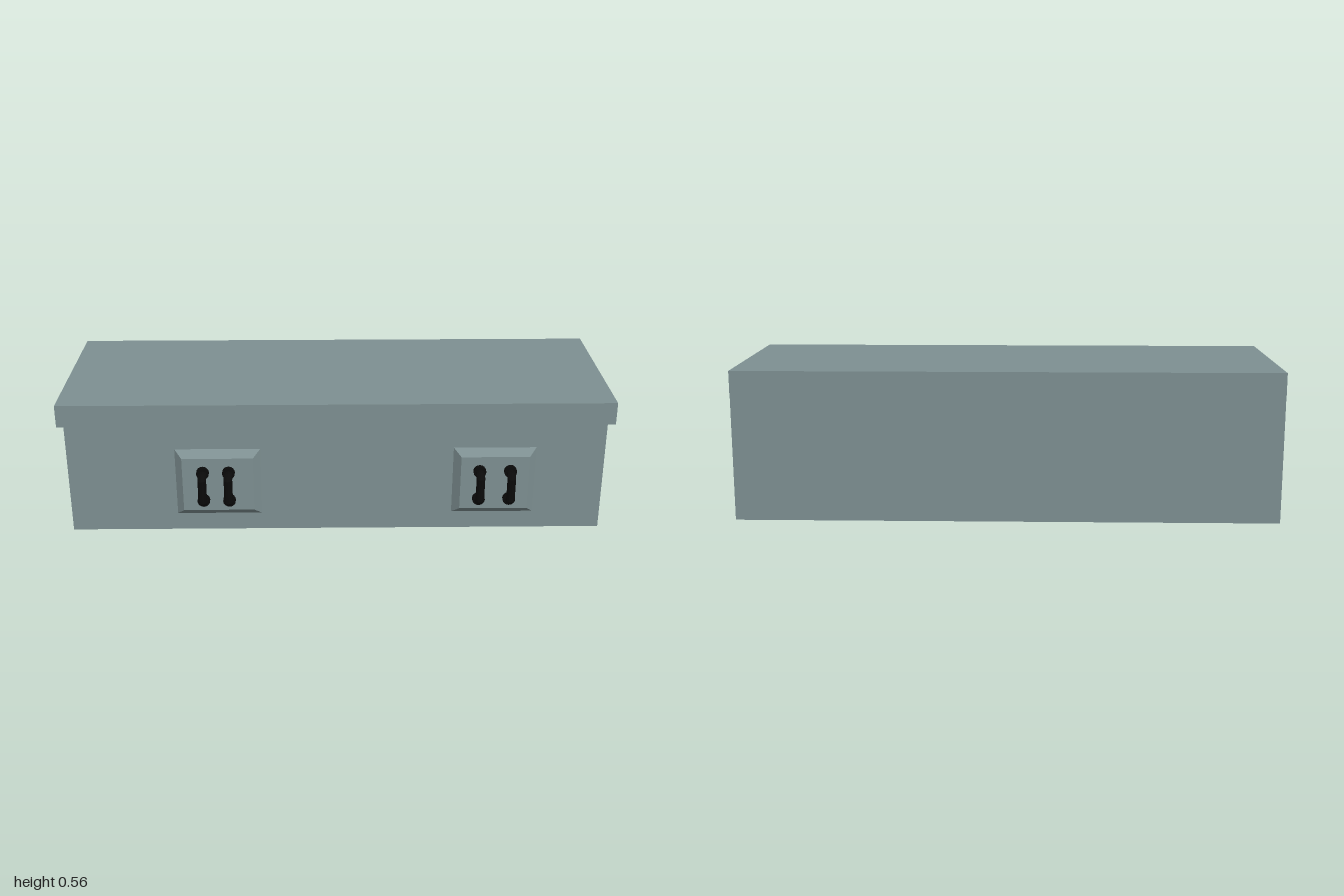
import * as THREE from 'three';

const cabinetGrey = new THREE.MeshStandardMaterial({ color: 0x7e9092 });
cabinetGrey.name = 'cabinet grey';
const handleBlack = new THREE.MeshStandardMaterial({ color: 0x0a0a0a });
handleBlack.name = 'handle black';

function addMesh(parent, name, geometry, material, x = 0, y = 0, z = 0) {
  const mesh = new THREE.Mesh(geometry, material);
  mesh.name = name;
  mesh.position.set(x, y, z);
  parent.add(mesh);
  return mesh;
}

// Box whose front face is inset on all four sides
function bevelledPanel(width, height, depth, inset) {
  const box = new THREE.BoxGeometry(width, height, depth);
  const p = box.attributes.position;
  for (let i = 0; i < p.count; i++) {
    if (p.getZ(i) > 0) {
      p.setX(i, p.getX(i) - Math.sign(p.getX(i)) * inset);
      p.setY(i, p.getY(i) - Math.sign(p.getY(i)) * inset);
    }
  }
  const flat = box.toNonIndexed();
  flat.computeVertexNormals();
  return flat;
}

// Rounded bar swept through sections given by inner and outer [y, z] points
function gripGeometry() {
  const half = [
    [[0.045, 0.270], [0.0665, 0.270]],
    [[0.045, 0.2865], [0.0665, 0.293]],
    [[0.045, 0.2865], [0.0455, 0.319]],
  ];
  const mirrored = half.map(s => s.map(([y, z]) => [-y, z])).reverse();
  const sections = [...half, ...mirrored];
  const sides = 12, halfWidth = 0.016;
  const positions = [], index = [];
  sections.forEach(([a, b]) => {
    for (let j = 0; j < sides; j++) {
      const t = (j / sides) * Math.PI * 2;
      const k = (1 + Math.cos(t)) / 2;
      positions.push(halfWidth * Math.sin(t), a[0] + (b[0] - a[0]) * k, a[1] + (b[1] - a[1]) * k);
    }
  });
  for (let i = 0; i < sections.length - 1; i++) {
    for (let j = 0; j < sides; j++) {
      const n = (j + 1) % sides;
      const a = i * sides + j, b = i * sides + n;
      index.push(a, a + sides, b, b, a + sides, b + sides);
    }
  }
  const g = new THREE.BufferGeometry();
  g.setAttribute('position', new THREE.Float32BufferAttribute(positions, 3));
  g.setIndex(index);
  const flat = g.toNonIndexed();
  flat.computeVertexNormals();
  return flat;
}

export function createModel() {
  const model = new THREE.Group();
  model.name = 'counter';

  // Main block and overhanging top
  addMesh(model, 'body', new THREE.BoxGeometry(2, 0.474, 0.561), cabinetGrey, 0, 0.237, -0.0525);
  addMesh(model, 'top', new THREE.BoxGeometry(2, 0.083, 0.672), cabinetGrey, 0, 0.5155, 0);

  const grip = gripGeometry();
  const foot = new THREE.CylinderGeometry(0.0235, 0.0235, 0.0145, 16).rotateX(Math.PI / 2);
  const centreY = 0.1975;

  // Two front panels, each with a pair of upright handles
  const panels = [
    { name: 'rightPanel', x: -0.441, width: 0.318, handles: [-0.496, -0.4] },
    { name: 'leftPanel', x: 0.59, width: 0.308, handles: [0.532, 0.646] },
  ];
  for (const { name, x, width, handles } of panels) {
    addMesh(model, name, bevelledPanel(width, 0.267, 0.027, 0.027), cabinetGrey, x, 0.2015, 0.2415);
    for (const hx of handles) {
      const handle = new THREE.Group();
      handle.name = 'handle';
      handle.position.set(hx, centreY, 0);
      addMesh(handle, 'grip', grip, handleBlack);
      for (const s of [1, -1]) addMesh(handle, 'handleFoot', foot, handleBlack, 0, s * 0.0565, 0.2653);
      model.add(handle);
    }
  }
  return model;
}
